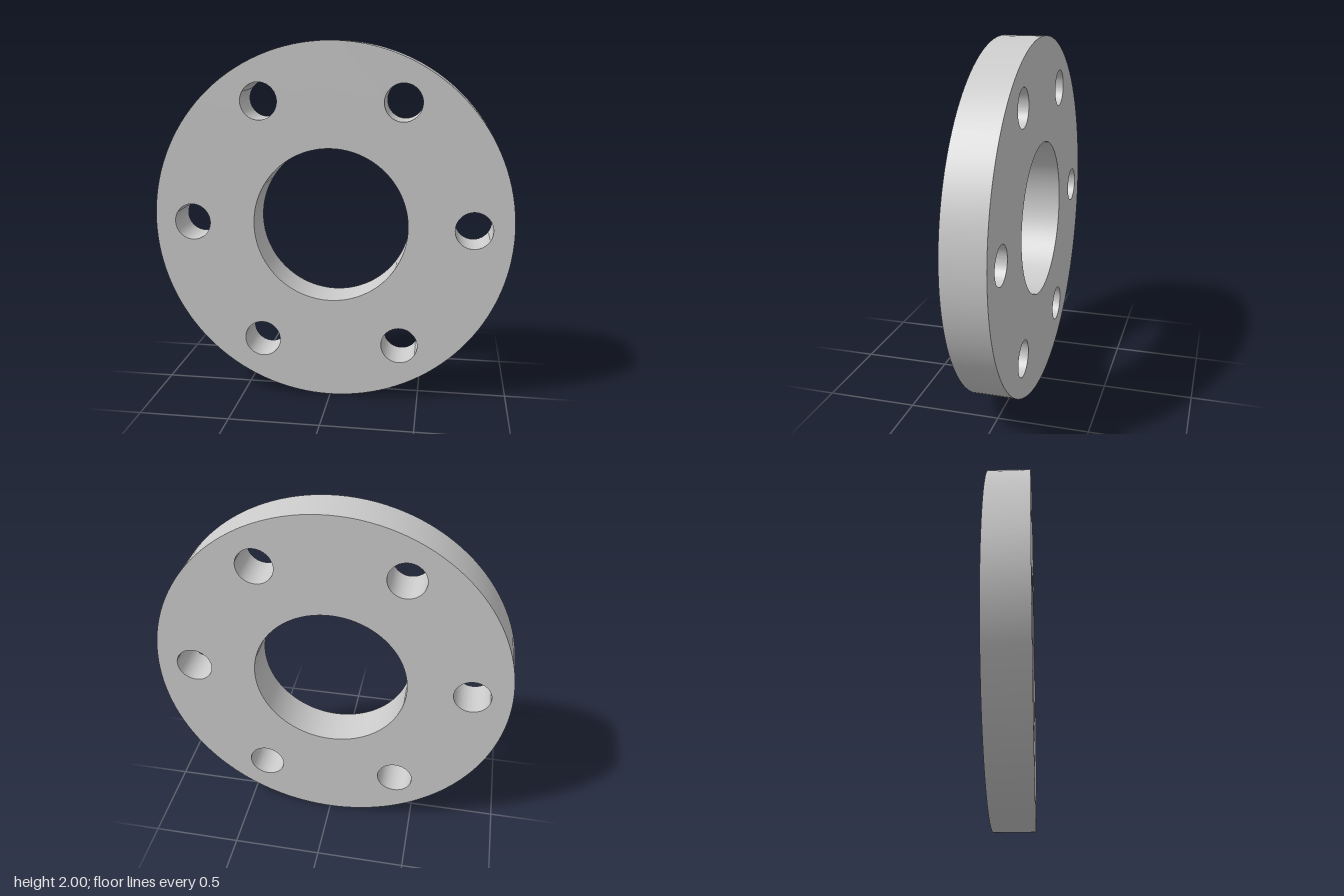
import * as THREE from 'three';
import { toCreasedNormals } from 'three/addons/utils/BufferGeometryUtils.js';

const OUTER_RADIUS = 1;
const BORE_RADIUS = 0.43;
const BOLT_CIRCLE = 0.785;
const BOLT_RADIUS = 0.102;
const BOLT_COUNT = 6;
const THICKNESS = 0.23;

const circleHole = (x, y, r) => new THREE.Path().absarc(x, y, r, 0, Math.PI * 2, true);

export function createModel() {
  const group = new THREE.Group();
  group.name = 'flange';

  // Round plate with a central bore
  const outline = new THREE.Shape().absarc(0, 0, OUTER_RADIUS, 0, Math.PI * 2, false);
  outline.holes.push(circleHole(0, 0, BORE_RADIUS));

  // Ring of bolt holes
  for (let i = 0; i < BOLT_COUNT; i++) {
    const a = (i / BOLT_COUNT) * Math.PI * 2;
    outline.holes.push(circleHole(BOLT_CIRCLE * Math.cos(a), BOLT_CIRCLE * Math.sin(a), BOLT_RADIUS));
  }

  // Extrude along z, smooth around the curves and sharp at the rims
  const extruded = new THREE.ExtrudeGeometry(outline, {
    depth: THICKNESS, bevelEnabled: false, curveSegments: 64,
  });
  extruded.translate(0, OUTER_RADIUS, -THICKNESS / 2);
  const plate = new THREE.Mesh(
    toCreasedNormals(extruded, Math.PI / 6),
    new THREE.MeshStandardMaterial({ color: 0xcccccc }),
  );
  plate.name = 'flangePlate';
  group.add(plate);

  return group;
}
